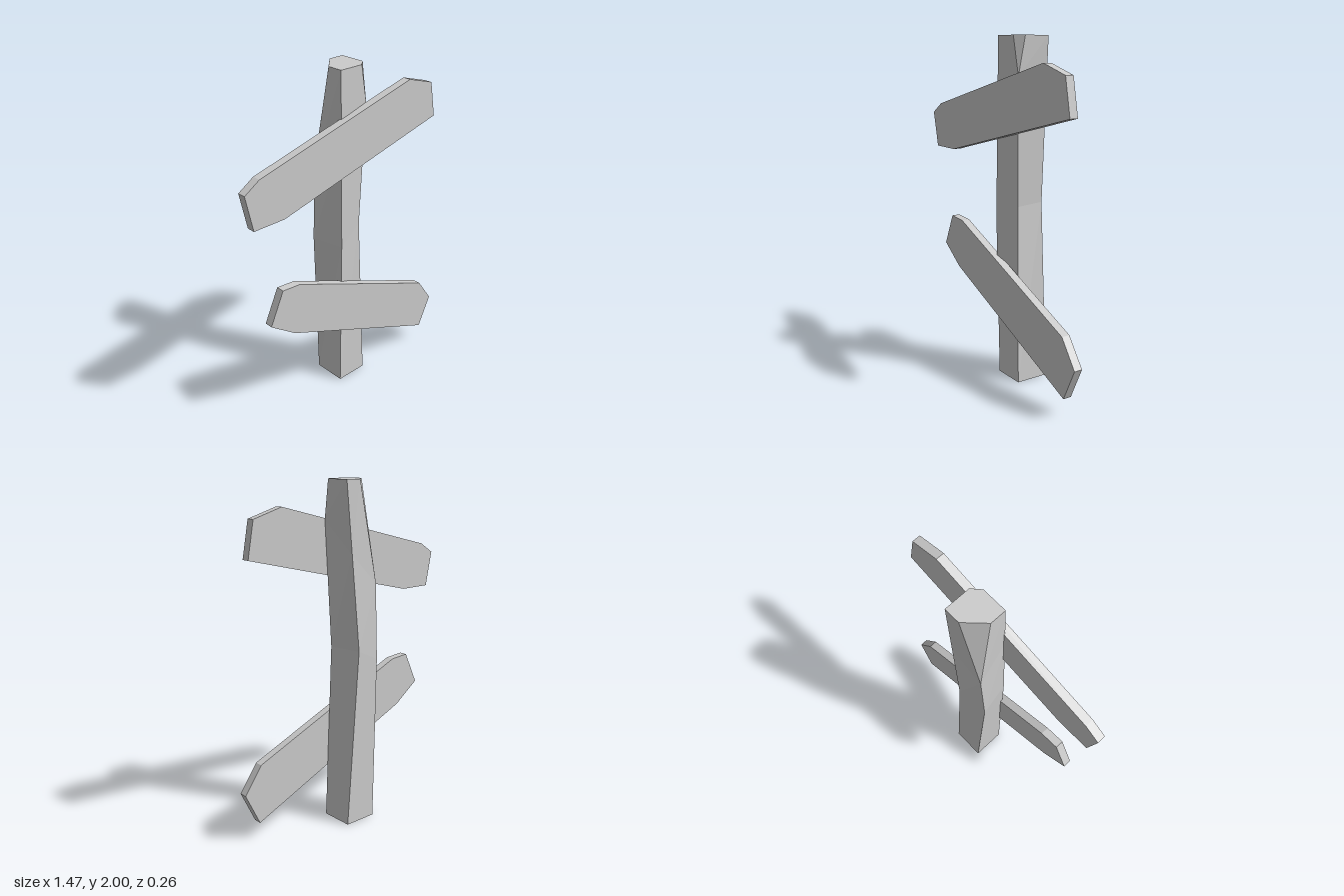
import * as THREE from 'three';

const material = new THREE.MeshStandardMaterial({ color: 0xcccccc, flatShading: true, side: THREE.DoubleSide });

// Flat board cut to an outline and extruded towards the front
function makePlank(name, outline) {
  const shape = new THREE.Shape(outline.map(([x, y]) => new THREE.Vector2(x, y)));
  const geometry = new THREE.ExtrudeGeometry(shape, { depth: 0.05, bevelEnabled: false });
  geometry.translate(0, 0, 0.08);
  const mesh = new THREE.Mesh(geometry, material);
  mesh.name = name;
  return mesh;
}

// Bent four-sided post; two corners are chipped away at the top
function makePost() {
  const V = (x, y, z) => new THREE.Vector3(x, y, z);
  // bottom, bend and top of an edge, with the height where its chip begins
  const column = (bottom, bend, corner, split, top = corner) => [
    bottom, bend, bend.clone().lerp(corner, (split - bend.y) / (2 - bend.y)), top,
  ];
  const frontLeft = [V(-0.05, 0, 0.085), V(-0.055, 0.97, 0.1), V(-0.05, 2, 0.085)];
  const frontRight = [V(0.15, 0, 0.085), V(0.115, 1.05, 0.065), V(0.15, 2, 0.085)];
  const backRight = [V(0.15, 0, -0.115), V(0.075, 1.05, -0.13), V(0.15, 2, -0.115)];
  const backLeft = [V(-0.05, 0, -0.115), V(-0.097, 0.97, -0.095), V(-0.05, 2, -0.115)];
  const columns = [
    column(...frontLeft, 1.6),
    column(...frontRight, 1.78, V(0.1, 2, 0.085)),
    column(...frontRight, 1.78, V(0.15, 2, 0.04)),
    column(...backRight, 1.6),
    column(...backLeft, 1.42, V(0.055, 2, -0.115)),
    column(...backLeft, 1.42, V(-0.05, 2, -0.01)),
  ];

  const points = [];
  const triangle = (a, b, c) => {
    const area = b.clone().sub(a).cross(c.clone().sub(a)).length();
    if (area > 1e-8) points.push(a, b, c);
  };
  // Walls, open underneath
  columns.forEach((a, i) => {
    const b = columns[(i + 1) % columns.length];
    for (let r = 0; r < 3; r++) {
      triangle(a[r], b[r], b[r + 1]);
      triangle(a[r], b[r + 1], a[r + 1]);
    }
  });
  // Top cap
  for (let i = 1; i < 5; i++) triangle(columns[0][3], columns[i][3], columns[i + 1][3]);

  const geometry = new THREE.BufferGeometry().setFromPoints(points);
  geometry.computeVertexNormals();
  const mesh = new THREE.Mesh(geometry, material);
  mesh.name = 'post';
  return mesh;
}

export function createModel() {
  const group = new THREE.Group();
  group.name = 'signpost';
  group.add(
    makePost(),
    makePlank('upperPlank', [
      [-0.735, 1.525], [-0.69, 1.315], [-0.49, 1.315], [0.66, 1.595],
      [0.62, 1.805], [0.435, 1.86], [-0.64, 1.585],
    ]),
    makePlank('lowerPlank', [
      [-0.61, 0.695], [-0.445, 0.575], [0.64, 0.105], [0.73, 0.295],
      [0.62, 0.45], [-0.4, 0.88], [-0.52, 0.89],
    ]),
  );
  return group;
}
